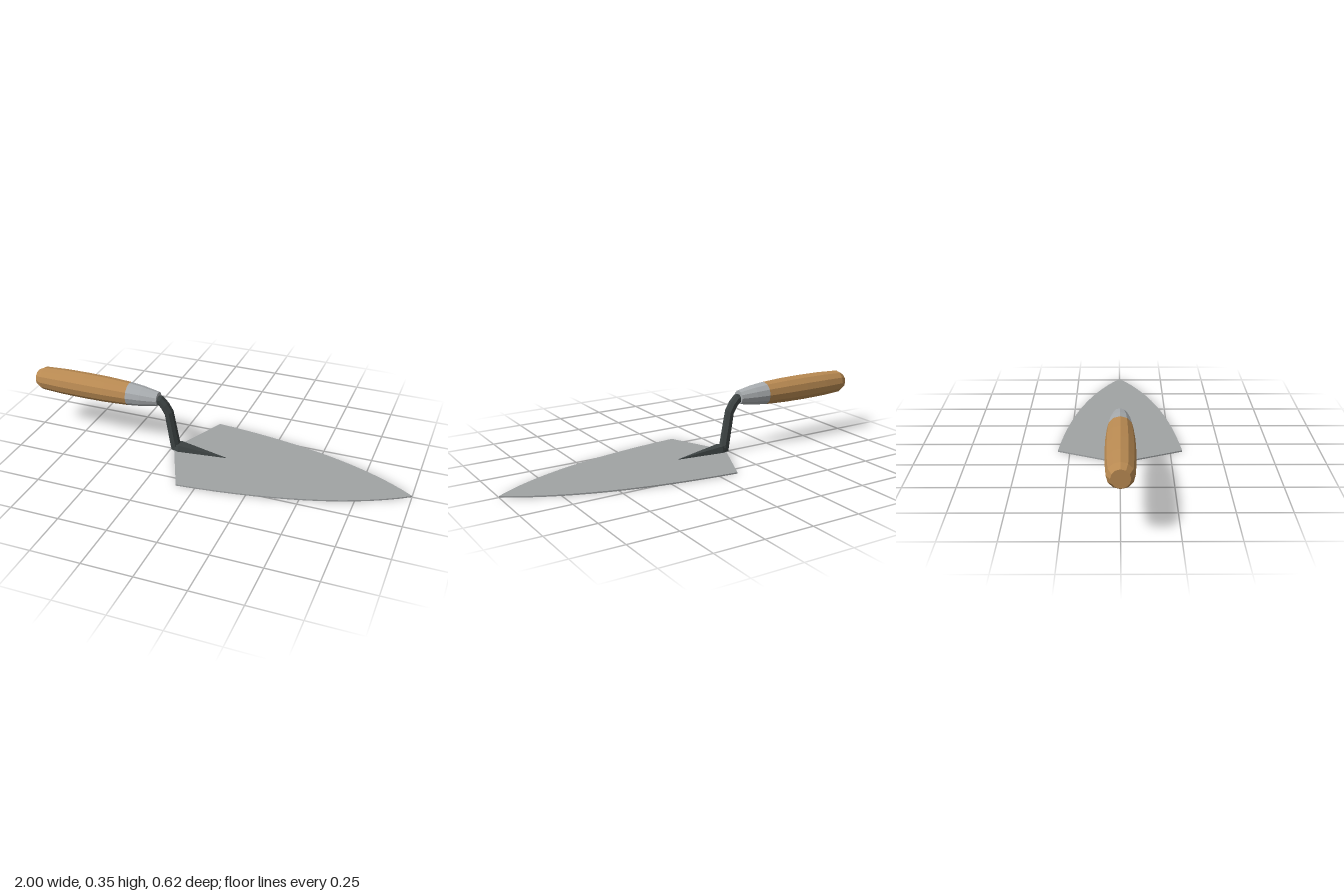
import * as THREE from 'three';
import { ConvexGeometry } from 'three/addons/geometries/ConvexGeometry.js';

const material = (name, color) => {
  const m = new THREE.MeshStandardMaterial({ color });
  m.name = name;
  return m;
};

// Faceted normals for the low-poly look
function faceted(geometry) {
  const g = geometry.index ? geometry.toNonIndexed() : geometry;
  g.computeVertexNormals();
  return g;
}

// Twelve-sided turned part along x, profile given as [x, radius]
function turned(profile) {
  const g = new THREE.LatheGeometry(profile.map(([x, r]) => new THREE.Vector2(r, x)), 12);
  g.rotateZ(-Math.PI / 2);
  g.translate(0, 0.28, 0);
  return faceted(g);
}

// Octagonal bar through sections given as [frontX, frontY, backX, backY, halfWidth]
function octagonalBar(sections) {
  const n = 8, pos = [], index = [];
  for (const [fx, fy, bx, by, w] of sections) {
    for (let j = 0; j < n; j++) {
      const a = ((j + 0.5) / n) * Math.PI * 2;
      const c = Math.cos(a) / Math.cos(Math.PI / n) / 2;
      const s = Math.sin(a) / Math.cos(Math.PI / n);
      pos.push((fx + bx) / 2 + (fx - bx) * c, (fy + by) / 2 + (fy - by) * c, w * s);
    }
  }
  for (let i = 0; i < sections.length - 1; i++) {
    for (let j = 0; j < n; j++) {
      const a = i * n + j, b = i * n + (j + 1) % n;
      index.push(a, b, b + n, a, b + n, a + n);
    }
  }
  const g = new THREE.BufferGeometry();
  g.setAttribute('position', new THREE.Float32BufferAttribute(pos, 3));
  g.setIndex(index);
  return faceted(g);
}

export function createModel() {
  const group = new THREE.Group();
  const wood = material('wood', 0xb98a52);
  const ferruleMetal = material('ferrule metal', 0xa8acaf);
  const bladeSteel = material('blade steel', 0xa0a3a4);
  const darkIron = material('dark iron', 0x3c4242);

  const add = (name, geometry, mat) => {
    const mesh = new THREE.Mesh(geometry, mat);
    mesh.name = name;
    group.add(mesh);
  };

  // Wooden grip and metal collar
  add('handle', turned([[-1, 0], [-1, 0.042], [-0.967, 0.06], [-0.85, 0.066],
    [-0.72, 0.0675], [-0.6, 0.066], [-0.475, 0.06]]), wood);
  add('ferrule', turned([[-0.475, 0.06], [-0.4, 0.052], [-0.313, 0.036], [-0.313, 0]]), ferruleMetal);

  // Cranked neck from ferrule to blade
  add('shank', octagonalBar([
    [-0.33, 0.296, -0.33, 0.25, 0.024],
    [-0.293, 0.296, -0.31, 0.25, 0.024],
    [-0.262, 0.264, -0.294, 0.23, 0.025],
    [-0.237, 0.222, -0.277, 0.2, 0.025],
    [-0.203, 0.036, -0.247, 0.01, 0.027],
  ]), darkIron);

  // Tapered tang lying on the blade
  const tang = [new THREE.Vector3(0.06, 0.0075, 0)];
  for (const s of [-1, 1]) {
    tang.push(
      new THREE.Vector3(-0.245, 0.004, s * 0.016),
      new THREE.Vector3(-0.2, 0.004, s * 0.033),
      new THREE.Vector3(-0.24, 0.036, s * 0.016),
      new THREE.Vector3(-0.2, 0.04, s * 0.025));
  }
  add('tang', new ConvexGeometry(tang), darkIron);

  // Thin leaf-shaped blade
  const outline = new THREE.Shape();
  outline.moveTo(-0.235, 0);
  outline.lineTo(-0.095, -0.31);
  outline.quadraticCurveTo(0.63, -0.252, 1, 0);
  outline.quadraticCurveTo(0.63, 0.252, -0.095, 0.31);
  outline.closePath();
  const blade = new THREE.ExtrudeGeometry(outline, { depth: 0.007, bevelEnabled: false, curveSegments: 14 });
  blade.rotateX(-Math.PI / 2);
  add('blade', blade, bladeSteel);

  return group;
}
